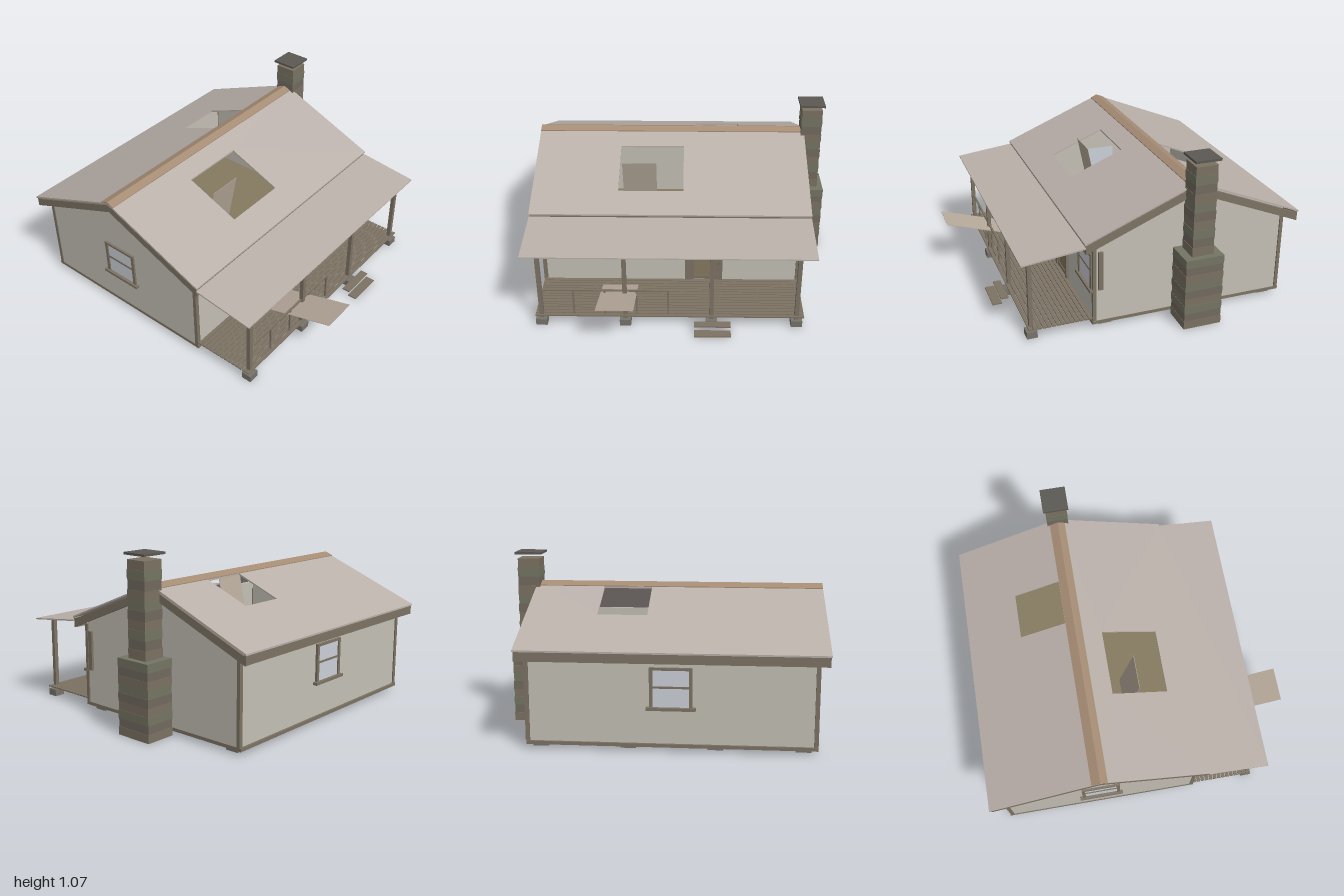
import * as THREE from 'three';

const mat = (color) => new THREE.MeshStandardMaterial({ color, side: THREE.DoubleSide, flatShading: true });
const M = {
  wall: mat(0xc4c0b5), wood: mat(0x7d7364), roof: mat(0xbab0aa), ridge: mat(0xa58c74), floor: mat(0x85795f),
  pier: mat(0x77736c), glass: mat(0xccd0d8), cap: mat(0x5c5954), board: mat(0xb8ab9c),
  stone: [mat(0x7b7262), mat(0x726a5f), mat(0x757564)],
};

// House limits, ridge line and roof pitch
const X0 = -0.905, X1 = 0.76, Z0 = -0.92, Z1 = 0.325;
const RIDGE_Y = 0.887, RIDGE_Z = -0.3, PITCH = 0.41;
const roofY = (z) => RIDGE_Y - PITCH * Math.abs(z - RIDGE_Z);

export function createModel() {
  const house = new THREE.Group();
  house.name = 'cabin';

  const add = (name, geometry, material, parent = house) => {
    const mesh = new THREE.Mesh(geometry, material);
    mesh.name = name;
    parent.add(mesh);
    return mesh;
  };
  // Box given by its limits
  const box = (name, x0, x1, y0, y1, z0, z1, material, parent) => {
    const g = new THREE.BoxGeometry(x1 - x0, y1 - y0, z1 - z0);
    g.translate((x0 + x1) / 2, (y0 + y1) / 2, (z0 + z1) / 2);
    return add(name, g, material, parent);
  };
  // Outline of [z, y] points extruded along x
  const prism = (name, points, x0, x1, material) => {
    const shape = new THREE.Shape(points.map(([z, y]) => new THREE.Vector2(z, y)));
    const g = new THREE.ExtrudeGeometry(shape, { depth: x1 - x0, bevelEnabled: false });
    g.rotateY(-Math.PI / 2).translate(x1, 0, 0);
    return add(name, g, material);
  };

  // Floor, skirt and piers
  box('floor', X0 + 0.01, X1 - 0.01, 0.035, 0.055, Z0 + 0.01, Z1 - 0.01, M.floor);
  for (const z of [Z0, Z1]) box('skirtBoard', X0 - 0.005, X1, 0.03, 0.05, z - 0.01, z + 0.008, M.wood);
  for (const x of [X0, X1 - 0.008]) box('skirtBoard', x - 0.004, x + 0.008, 0.03, 0.05, Z0, Z1, M.wood);
  for (const x of [-0.83, -0.33, 0.175, 0.685])
    for (const z of [0.24, -0.3, -0.84]) box('pier', x - 0.045, x + 0.045, 0.005, 0.036, z - 0.042, z + 0.042, M.pier);

  // Walls with gable ends and corner trim
  const wallTop = roofY(Z1) - 0.02;
  box('frontWall', X0, X1, 0.045, wallTop, Z1 - 0.015, Z1 - 0.003, M.wall);
  box('backWall', X0, X1, 0.045, wallTop, Z0 + 0.003, Z0 + 0.015, M.wall);
  const gable = [[Z0, 0.045], [Z1, 0.045], [Z1, wallTop], [RIDGE_Z, RIDGE_Y - 0.02], [Z0, wallTop]];
  prism('rightGableWall', gable, X0, X0 + 0.012, M.wall);
  prism('leftGableWall', gable, X1 - 0.015, X1 - 0.003, M.wall);
  for (const x of [X0 - 0.005, X1 - 0.02])
    for (const z of [Z0 - 0.004, Z1 - 0.018]) box('cornerTrim', x, x + 0.025, 0.05, 0.56, z, z + 0.022, M.wood);
  box('meterBox', X1 - 0.005, X1 + 0.012, 0.265, 0.515, 0.265, 0.295, M.wood);

  // Roof slope: v runs back from the ridge, the sheet is bent down on both sides
  const slope = (name, x0, x1, v0, v1, lift, thick, material, hole) => {
    const rect = (Type, a, b, c, d) => {
      const p = new Type();
      p.moveTo(a, c); p.lineTo(b, c); p.lineTo(b, d); p.lineTo(a, d); p.closePath();
      return p;
    };
    const shape = rect(THREE.Shape, x0, x1, v0, v1);
    if (hole) shape.holes.push(rect(THREE.Path, ...hole));
    const g = new THREE.ExtrudeGeometry(shape, { depth: thick, bevelEnabled: false });
    const p = g.attributes.position;
    for (let i = 0; i < p.count; i++) {
      const v = p.getY(i), h = p.getZ(i);
      p.setXYZ(i, p.getX(i), RIDGE_Y - PITCH * Math.abs(v) + h + lift, RIDGE_Z - v);
    }
    g.computeVertexNormals();
    return add(name, g, material);
  };
  slope('frontRoof', -0.96, 0.81, -0.69, 0, -0.01, 0.01, M.roof, [-0.41, 0.005, -0.515, -0.165]);
  slope('backRoof', -0.96, 0.81, 0, 0.7, -0.01, 0.01, M.roof, [0.085, 0.38, 0.055, 0.35]);
  slope('ridgeCapFront', -0.96, 0.785, -0.045, 0, 0, 0.005, M.ridge);
  slope('ridgeCapBack', -0.96, 0.785, 0, 0.054, 0, 0.005, M.ridge);
  // Barge boards under both gable overhangs, and eave boards
  for (const [x0, x1] of [[-0.955, -0.935], [0.785, 0.805]]) {
    slope('bargeBoard', x0, x1, -0.68, 0, -0.072, 0.05, M.wood);
    slope('bargeBoard', x0, x1, 0, 0.69, -0.072, 0.05, M.wood);
  }
  box('frontEaveBoard', -0.955, 0.805, 0.535, 0.593, 0.368, 0.384, M.wood);
  box('backEaveBoard', -0.955, 0.805, 0.535, 0.59, -0.994, -0.978, M.wood);

  // Porch roof
  prism('porchRoof', [[0.385, 0.572], [0.77, 0.528], [0.77, 0.536], [0.385, 0.582]], -0.96, 0.81, M.roof);

  // Porch deck, posts and footings
  const planks = 14, step = (0.73 - 0.33) / planks;
  for (let i = 0; i < planks; i++) {
    const z = 0.33 + i * step;
    box('deckPlank', X0, X1, 0.068, 0.076, z, z + step * 0.82, M.wood);
  }
  for (const x of [-0.868, -0.347, 0.186, 0.714]) {
    box('porchPost', x - 0.013, x + 0.013, 0.05, 0.54, 0.69, 0.715, M.wood);
    box('porchFooting', x - 0.035, x + 0.035, 0.007, 0.05, 0.67, 0.735, M.pier);
  }
  // Railing
  box('handRail', -0.86, -0.075, 0.247, 0.256, 0.696, 0.708, M.wood);
  for (let i = 1; i <= 4; i++) {
    const x = -0.86 + i * 0.1945;
    box('baluster', x - 0.005, x + 0.005, 0.076, 0.25, 0.697, 0.707, M.wood);
  }
  // Steps
  box('upperStep', 0.08, 0.305, 0.036, 0.044, 0.735, 0.785, M.wood);
  box('lowerStep', 0.08, 0.305, 0.004, 0.012, 0.78, 0.84, M.wood);

  // Sash window, built facing +z around its own centre
  const addWindow = (name, x, z, turn) => {
    const w = new THREE.Group();
    w.name = name;
    for (const s of [-1, 1]) box('windowJamb', s * 0.113 - 0.01, s * 0.113 + 0.01, -0.115, 0.115, -0.005, 0.012, M.wood, w);
    box('windowHead', -0.123, 0.123, 0.103, 0.118, -0.005, 0.014, M.wood, w);
    box('windowSill', -0.142, 0.142, -0.13, -0.113, -0.005, 0.024, M.wood, w);
    box('sashRail', -0.105, 0.105, -0.003, 0.009, -0.003, 0.009, M.wood, w);
    box('windowPane', -0.105, 0.105, -0.115, 0.105, -0.014, 0.004, M.glass, w);
    w.position.set(x, 0.38, z);
    w.rotation.y = turn;
    house.add(w);
  };
  addWindow('frontWindowRight', -0.49, Z1, 0);
  addWindow('frontWindowLeft', 0.625, Z1, 0);
  addWindow('backWindow', -0.075, Z0, Math.PI);
  addWindow('sideWindow', X0, RIDGE_Z, -Math.PI / 2);

  // Door
  const door = new THREE.Group();
  door.name = 'door';
  house.add(door);
  box('doorPanel', 0.05, 0.24, 0.076, 0.5, Z1 - 0.006, Z1 + 0.003, M.floor, door);
  for (const x of [0.03, 0.238]) box('doorJamb', x, x + 0.024, 0.076, 0.51, Z1 - 0.005, Z1 + 0.014, M.wood, door);
  box('doorHead', 0.03, 0.262, 0.495, 0.512, Z1 - 0.005, Z1 + 0.015, M.wood, door);
  for (const y of [0.08, 0.27, 0.47]) box('doorRail', 0.054, 0.238, y, y + 0.025, Z1, Z1 + 0.008, M.wood, door);
  for (const x of [0.054, 0.214]) box('doorStile', x, x + 0.022, 0.076, 0.495, Z1, Z1 + 0.008, M.wood, door);
  box('doorSidePanel', 0.018, 0.034, 0.076, 0.27, Z1 - 0.003, Z1 + 0.012, M.wood, door);

  // Loose tilted boards, one over the porch rail and one below the front roof opening
  prism('porchBoard', [[0.55, 0.182], [1, 0.325], [1, 0.328], [0.55, 0.185]], -0.495, -0.273, M.board);
  prism('loftBoard', [[-0.055, 0.33], [-0.052, 0.33], [0.04, 0.78], [0.037, 0.78]], -0.395, -0.173, M.board);

  // Chimney: courses of stone, wide base, narrow stack, raised cap
  const courses = (name, n, y0, y1, x0, x1, z0, z1) => {
    const h = (y1 - y0) / n;
    for (let i = 0; i < n; i++) {
      const inset = (i % 2) * 0.002;
      box(name, x0 + inset, x1 - inset, y0 + i * h, y0 + (i + 1) * h, z0 + inset, z1 - inset, M.stone[i % 3]);
    }
  };
  courses('chimneyBase', 9, 0.005, 0.468, 0.765, 0.96, -0.422, -0.178);
  courses('chimneyStack', 10, 0.468, 1.035, 0.785, 0.923, -0.37, -0.23);
  box('chimneyCap', 0.77, 0.935, 1.062, 1.076, -0.383, -0.22, M.cap);

  return house;
}
